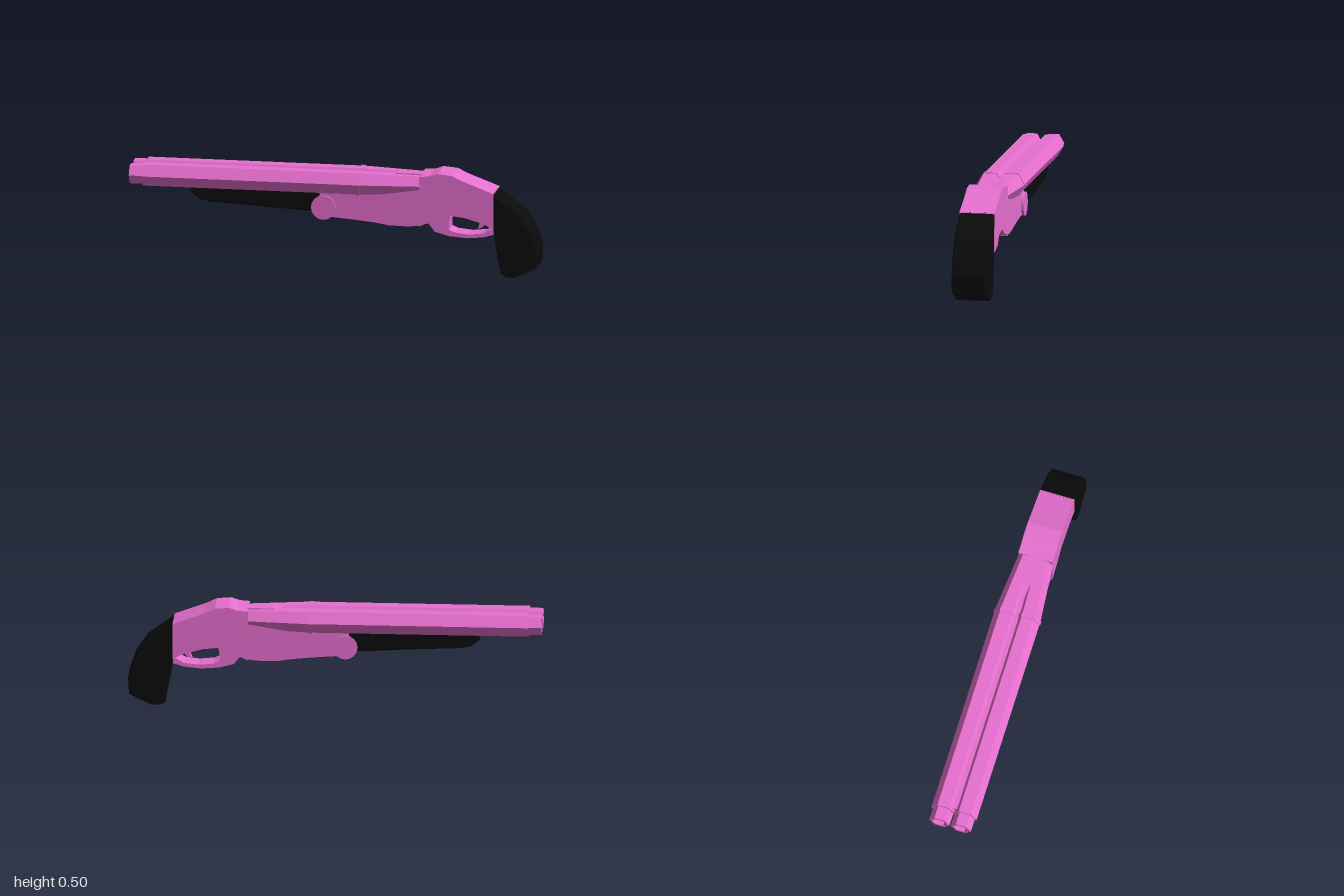
import * as THREE from 'three';

const pink = new THREE.MeshStandardMaterial({ color: 0xe870d0, flatShading: true });
const black = new THREE.MeshStandardMaterial({ color: 0x0b0b0b, flatShading: true });

function add(group, name, geometry, material = pink) {
  const mesh = new THREE.Mesh(geometry, material);
  mesh.name = name;
  group.add(mesh);
  return mesh;
}

// Side outline in x/y, extruded symmetrically to z = +-half with an optional chamfer
function slab(points, half, chamfer = 0, hole = null) {
  const toV = list => list.map(p => new THREE.Vector2(...p));
  const shape = new THREE.Shape(toV(points));
  if (hole) shape.holes.push(new THREE.Path(toV(hole)));
  const depth = 2 * (half - chamfer);
  return new THREE.ExtrudeGeometry(shape, {
    depth, bevelEnabled: chamfer > 0, bevelSize: chamfer, bevelThickness: chamfer,
    bevelOffset: -chamfer, bevelSegments: 1,
  }).translate(0, 0, -depth / 2);
}

// Six-sided barrel along x: [radius, x] from breech to muzzle, then back down the bore
function barrelGeometry(side) {
  const profile = [
    [0, 0.44], [0.05, 0.44], [0.06, 0.13], [0.064, 0.13], [0.064, 0.11], [0.06, 0.11],
    [0.06, -0.935], [0.051, -0.935], [0.051, -1], [0.037, -1], [0.037, -0.8], [0, -0.8],
  ].map(([r, x]) => new THREE.Vector2(r, -x));
  const geo = new THREE.LatheGeometry(profile, 6).rotateZ(Math.PI / 2);
  const pos = geo.attributes.position;
  // The breech ends converge into the receiver
  for (let i = 0; i < pos.count; i++) {
    const t = Math.max(0, (pos.getX(i) - 0.13) / 0.31);
    pos.setZ(i, pos.getZ(i) + side * (0.054 - 0.018 * t));
    pos.setY(i, pos.getY(i) + 0.436);
  }
  return geo;
}

export function createModel() {
  const gun = new THREE.Group();
  gun.name = 'doubleBarrelGun';

  // Twin barrels and the web joining them
  for (const side of [1, -1]) {
    add(gun, side > 0 ? 'frontBarrel' : 'backBarrel', barrelGeometry(side));
  }
  add(gun, 'barrelWeb', slab([[-0.92, 0.41], [0.43, 0.41], [0.43, 0.465], [-0.92, 0.465]], 0.025));
  add(gun, 'breechRamp', slab([[0.17, 0.45], [0.43, 0.42], [0.43, 0.487], [0.3, 0.487]], 0.035));

  // Wooden fore-end under the barrels
  add(gun, 'foreEnd', slab([
    [-0.705, 0.4], [-0.7, 0.36], [-0.66, 0.327], [-0.61, 0.315], [-0.35, 0.303],
    [-0.15, 0.29], [-0.06, 0.295], [-0.06, 0.4],
  ], 0.08, 0.012), black);

  // Hinged front half of the action and its pivot
  add(gun, 'actionFront', slab([
    [-0.08, 0.41], [-0.08, 0.3], [-0.03, 0.267], [0.1, 0.257], [0.2, 0.247], [0.27, 0.236],
    [0.36, 0.234], [0.43, 0.24], [0.43, 0.43], [0.2, 0.41],
  ], 0.077));
  add(gun, 'hingePin', new THREE.CylinderGeometry(0.06, 0.06, 0.175, 16)
    .rotateX(Math.PI / 2).translate(-0.05, 0.312, 0));

  // Rear half of the action
  add(gun, 'actionRear', slab([
    [0.42, 0.238], [0.45, 0.252], [0.51, 0.265], [0.55, 0.285], [0.565, 0.298], [0.64, 0.29],
    [0.73, 0.265], [0.785, 0.238], [0.785, 0.414], [0.63, 0.472], [0.58, 0.496], [0.51, 0.502],
    [0.47, 0.488], [0.42, 0.485],
  ], 0.086));

  // Trigger guard loop and trigger
  add(gun, 'triggerGuard', slab([
    [0.45, 0.26], [0.49, 0.207], [0.56, 0.188], [0.65, 0.181], [0.73, 0.189], [0.79, 0.207],
    [0.79, 0.26], [0.73, 0.28], [0.64, 0.305], [0.56, 0.31],
  ], 0.05, 0, [
    [0.565, 0.3], [0.64, 0.295], [0.73, 0.27], [0.777, 0.235], [0.73, 0.208], [0.66, 0.2],
    [0.59, 0.207], [0.56, 0.22], [0.56, 0.25],
  ]));
  add(gun, 'trigger', slab([
    [0.7, 0.285], [0.705, 0.25], [0.695, 0.22], [0.72, 0.232], [0.745, 0.265], [0.75, 0.28],
  ], 0.018));

  // Curved pistol grip
  add(gun, 'grip', slab([
    [0.78, 0.416], [0.785, 0.21], [0.8, 0.12], [0.82, 0.018], [0.85, 0.002], [0.89, 0.004],
    [0.94, 0.028], [0.995, 0.055], [1, 0.14], [0.97, 0.23], [0.91, 0.318], [0.815, 0.388],
  ], 0.086, 0.008), black);

  return gun;
}
